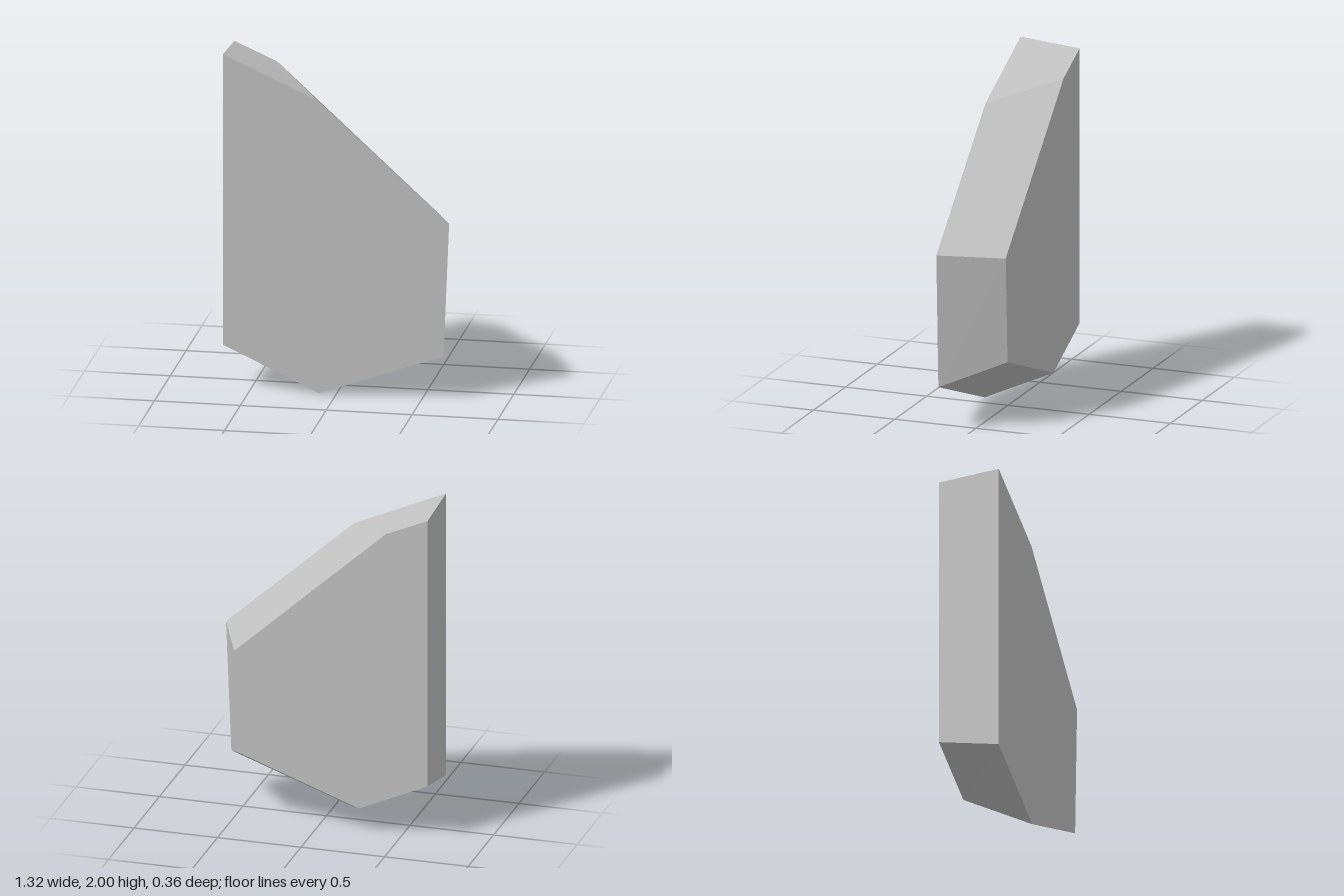
import * as THREE from 'three';

// Outlines, counter-clockwise seen from the front
const HALF_DEPTH = 0.182;
const FRONT = [[-0.66, 2], [-0.66, 0.26], [-0.1, 0], [0.625, 0.26], [0.657, 1.055], [-0.11, 1.752]];
const BACK = [[-0.66, 1.97], [-0.66, 0.33], [-0.25, 0.145], [0.468, 0.405], [0.497, 1.032], [-0.41, 1.86]];

// Joins two outlines into a closed, flat-faced solid
function loftSolid(front, back, half) {
  const f = front.map(([x, y]) => [x, y, half]);
  const b = back.map(([x, y]) => [x, y, -half]);
  const positions = [];
  const tri = (p, q, r) => positions.push(...p, ...q, ...r);
  const n = f.length;
  for (let i = 0; i < n; i++) {
    const j = (i + 1) % n;
    // bevelled side
    tri(f[i], b[i], b[j]);
    tri(f[i], b[j], f[j]);
    // front and back caps as fans
    if (i > 0 && i < n - 1) {
      tri(f[0], f[i], f[j]);
      tri(b[0], b[j], b[i]);
    }
  }
  const geometry = new THREE.BufferGeometry();
  geometry.setAttribute('position', new THREE.Float32BufferAttribute(positions, 3));
  geometry.computeVertexNormals();
  return geometry;
}

export function createModel() {
  const group = new THREE.Group();
  group.name = 'facetedSlab';

  const stone = new THREE.MeshStandardMaterial({ color: 0xc0c0c0 });
  stone.name = 'light grey';

  const slab = new THREE.Mesh(loftSolid(FRONT, BACK, HALF_DEPTH), stone);
  slab.name = 'slab';
  group.add(slab);
  return group;
}
